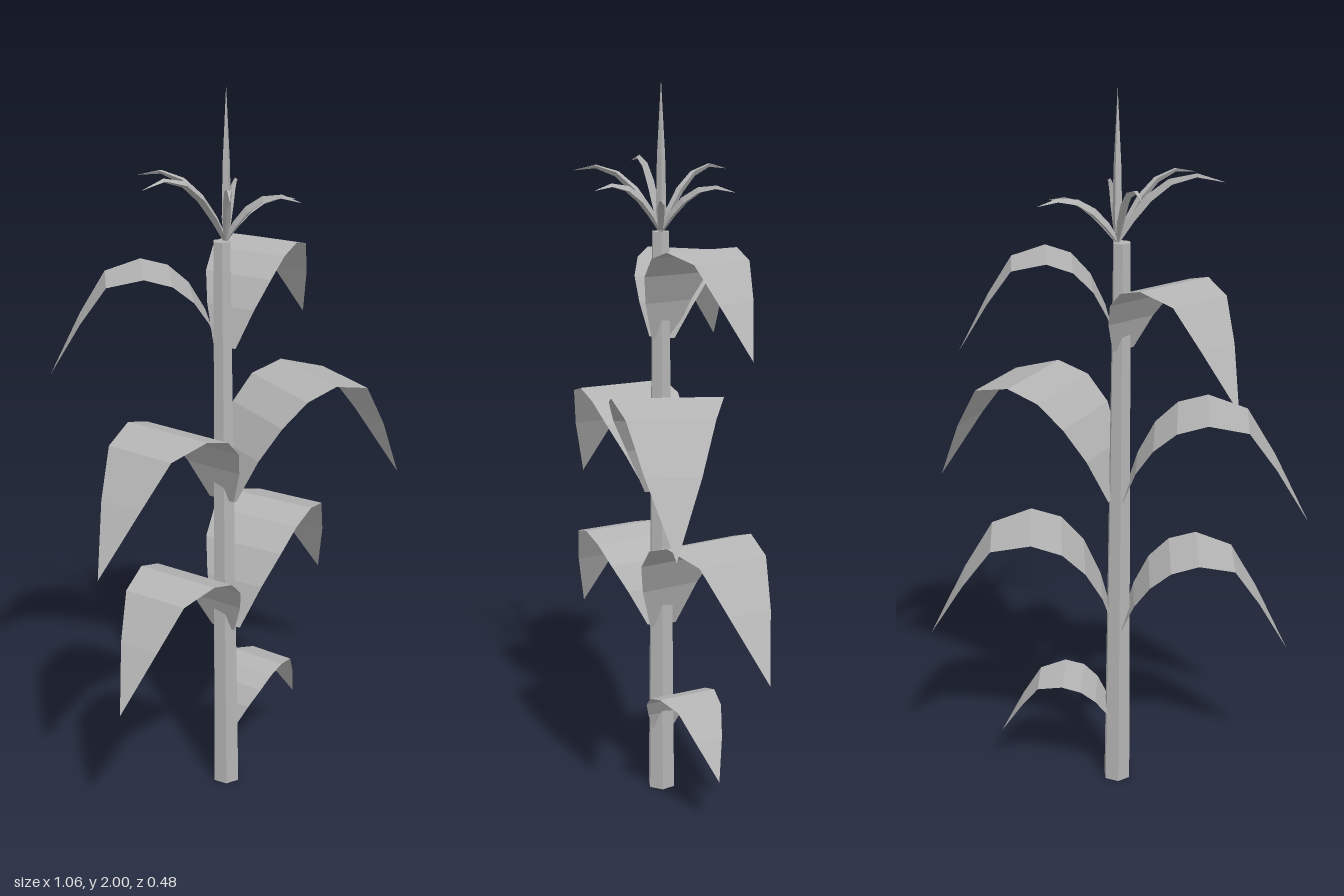
import * as THREE from 'three';

const plantGrey = new THREE.MeshStandardMaterial({ color: 0xb4b4b4, flatShading: true, side: THREE.DoubleSide });
plantGrey.name = 'plantGrey';

const stalkX = (y) => -0.04 - 0.006 * y;
const STALK_Z = 0.008;

function add(group, name, geometry) {
  const mesh = new THREE.Mesh(geometry, plantGrey);
  mesh.name = name;
  group.add(mesh);
  return mesh;
}

// Leaf rows: [distance along / length, height / arch, half width / length]
const LEAF_ROWS = [
  [0.02, 0, 0.08], [0.09, 0.4, 0.17], [0.18, 0.7, 0.235], [0.3, 0.91, 0.26],
  [0.46, 1, 0.255], [0.67, 0.91, 0.2], [0.82, 0.54, 0.125], [1, 0, 0],
];

// Arching blade from the stalk at height base to a pointed tip
function leafGeometry(base, peak, tip) {
  const start = new THREE.Vector3(stalkX(base), base, STALK_Z);
  const dx = tip[0] - start.x, dz = tip[2] - start.z;
  const length = Math.hypot(dx, dz);
  const sideX = -dz / length, sideZ = dx / length;
  const positions = [], index = [];
  LEAF_ROWS.forEach(([t, h, w], i) => {
    const from = t < 0.46 ? base : tip[1];
    const y = from + (peak - from) * h;
    for (const s of [-1, 1]) {
      const half = s * w * length;
      positions.push(start.x + dx * t + sideX * half, y, start.z + dz * t + sideZ * half);
    }
    if (i > 0) {
      const a = 2 * i - 2;
      index.push(a, a + 1, a + 2);
      if (w > 0) index.push(a + 1, a + 3, a + 2);
    }
  });
  const geometry = new THREE.BufferGeometry();
  geometry.setAttribute('position', new THREE.Float32BufferAttribute(positions, 3));
  geometry.setIndex(index);
  geometry.computeVertexNormals();
  return geometry;
}

// Thin drooping tassel branch: a three-sided tube tapered along its length
function branchGeometry(root, tip) {
  const at = (t, rise) => new THREE.Vector3(
    root.x + (tip.x - root.x) * t, root.y + (tip.y - root.y) * rise, root.z + (tip.z - root.z) * t);
  const curve = new THREE.CatmullRomCurve3([at(0, 0), at(0.16, 0.42), at(0.4, 0.86), at(0.68, 1.08), at(1, 1)]);
  const segments = 5, sides = 3;
  const geometry = new THREE.TubeGeometry(curve, segments, 0.011, sides, false);
  const p = geometry.attributes.position, v = new THREE.Vector3();
  const taper = [0.6, 1, 1.1, 0.9, 0.55, 0.05];
  for (let i = 0; i < p.count; i++) {
    const ring = Math.floor(i / (sides + 1));
    const centre = curve.getPointAt(ring / segments);
    v.fromBufferAttribute(p, i).sub(centre).multiplyScalar(taper[ring]).add(centre);
    p.setXYZ(i, v.x, v.y, v.z);
  }
  return geometry;
}

export function createModel() {
  const plant = new THREE.Group();
  plant.name = 'cornPlant';

  // Hexagonal stalk, leaning slightly as it narrows
  const stalk = new THREE.CylinderGeometry(0.025, 0.04, 1.6, 6);
  stalk.rotateY(Math.PI / 6).translate(0, 0.8, STALK_Z);
  const p = stalk.attributes.position;
  for (let i = 0; i < p.count; i++) p.setX(i, p.getX(i) + stalkX(p.getY(i)));
  add(plant, 'stalk', stalk);

  // Leaves: base height, peak height, tip position
  const leaves = [
    ['lowestLeaf', 0.17, 0.33, [0.27, 0.14, -0.12]],
    ['lowerLeftLeaf', 0.49, 0.795, [0.43, 0.475, -0.23]],
    ['lowerRightLeaf', 0.49, 0.725, [-0.48, 0.42, 0.205]],
    ['middleLeftLeaf', 0.88, 1.2, [0.53, 0.85, 0.025]],
    ['middleRightLeaf', 0.88, 1.14, [-0.53, 0.82, 0.2]],
    ['upperLeftLeaf', 1.31, 1.57, [0.335, 1.31, -0.19]],
    ['upperRightLeaf', 1.31, 1.53, [-0.46, 1.25, -0.19]],
  ];
  for (const [name, base, peak, tip] of leaves) add(plant, name, leafGeometry(base, peak, tip));

  // Tassel: central spike and six branches
  const tassel = new THREE.Group();
  tassel.name = 'tassel';
  plant.add(tassel);
  const spike = [[0.006, 1.58], [0.014, 1.66], [0.011, 1.8], [0, 2]].map(([r, y]) => new THREE.Vector2(r, y));
  add(tassel, 'spike', new THREE.LatheGeometry(spike, 4)).position.set(-0.036, 0, STALK_Z);

  const root = new THREE.Vector3(-0.038, 1.6, STALK_Z);
  const tips = [
    [-0.31, 1.77, 0.065], [-0.19, 1.755, -0.185], [0.105, 1.715, -0.17],
    [0.168, 1.69, 0.02], [0.075, 1.72, 0.19], [-0.16, 1.755, 0.235],
  ];
  for (const tip of tips) add(tassel, 'tasselBranch', branchGeometry(root, new THREE.Vector3(...tip)));

  return plant;
}
